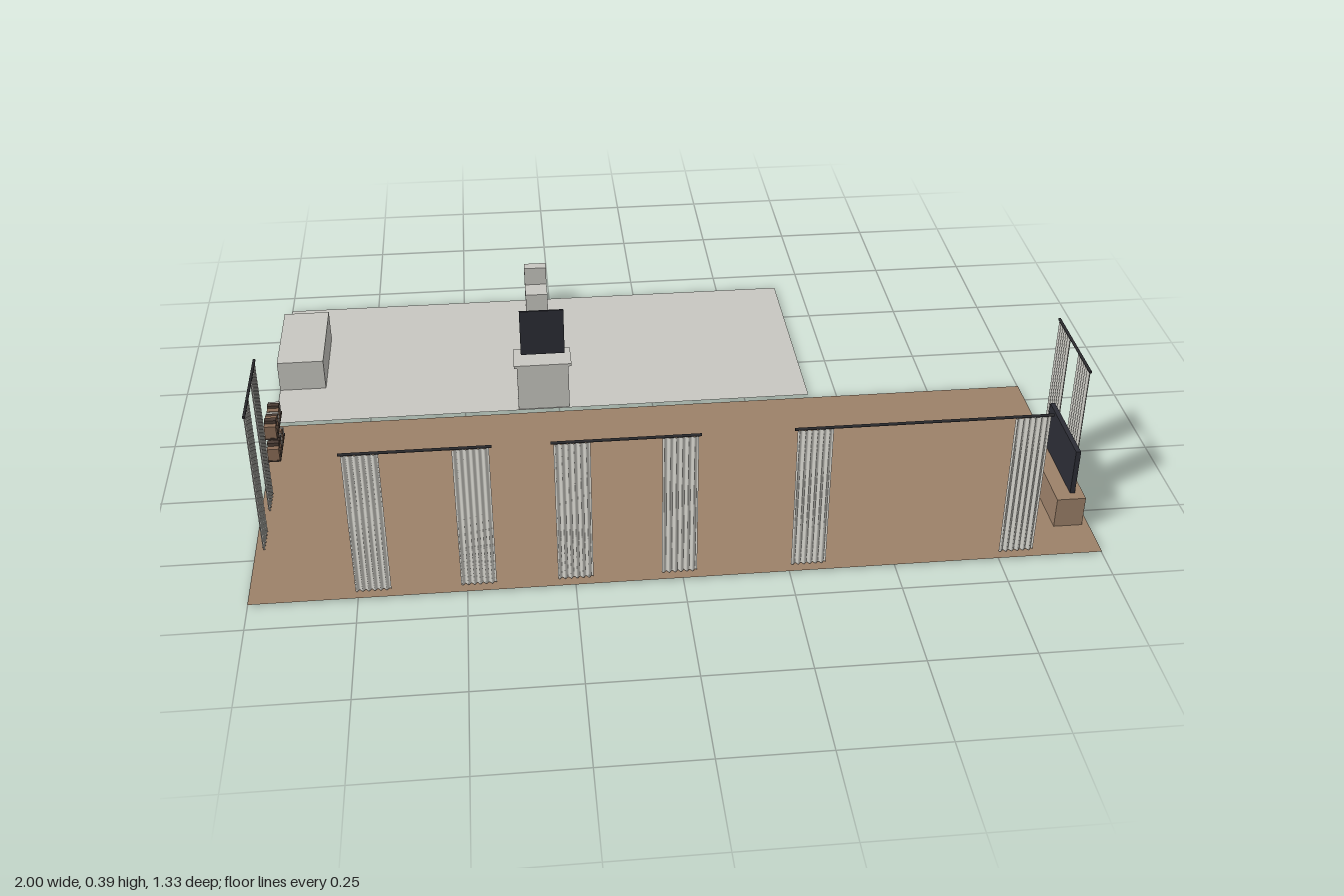
import * as THREE from 'three';

const material = (name, color, side = THREE.FrontSide) => {
  const m = new THREE.MeshStandardMaterial({ color, side });
  m.name = name;
  return m;
};

export function createModel() {
  const wood = material('wood', 0x9c8169, THREE.DoubleSide);
  const pale = material('pale grey', 0xc8c7c1, THREE.DoubleSide);
  const fabric = material('curtain fabric', 0xd0cfc8, THREE.DoubleSide);
  const metal = material('dark metal', 0x2a2a2d);
  const glass = material('dark glass', 0x2c2d35);
  const rugBrown = material('rug brown', 0x746358);
  const bookBrown = material('book brown', 0x8a6c56);
  const bookDark = material('book dark brown', 0x4a3c34);
  const bookGrey = material('book grey', 0xa3a29c);

  const model = new THREE.Group();
  model.name = 'rooms';

  // Box given by its limits on each axis
  const box = (name, mat, [x0, x1], [y0, y1], [z0, z1], parent = model) => {
    const mesh = new THREE.Mesh(new THREE.BoxGeometry(x1 - x0, y1 - y0, z1 - z0), mat);
    mesh.position.set((x0 + x1) / 2, (y0 + y1) / 2, (z0 + z1) / 2);
    mesh.name = name;
    parent.add(mesh);
    return mesh;
  };

  // Flat floors
  const floor = (name, mat, [x0, x1], [z0, z1]) => {
    const mesh = new THREE.Mesh(new THREE.PlaneGeometry(x1 - x0, z1 - z0).rotateX(-Math.PI / 2), mat);
    mesh.position.set((x0 + x1) / 2, 0.004, (z0 + z1) / 2);
    mesh.name = name;
    model.add(mesh);
  };
  floor('livingFloor', wood, [-1, 1], [-0.063, 0.667]);
  floor('bathFloor', pale, [-1, 0.424], [-0.667, -0.078]);
  box('rug', rugBrown, [-0.2, 0.2], [0, 0.003], [0.27, 0.575]);

  // Pleated curtain panel: a ribbon whose vertices follow a wave
  const panel = (x0, x1) => {
    const pleats = 6, width = x1 - x0;
    const geo = new THREE.PlaneGeometry(width, 0.378, pleats * 8, 1);
    const p = geo.attributes.position;
    for (let i = 0; i < p.count; i++) {
      const t = p.getX(i) / width + 0.5;
      p.setZ(i, 0.0035 * Math.sin(t * pleats * Math.PI * 2));
    }
    geo.computeVertexNormals();
    const mesh = new THREE.Mesh(geo, fabric);
    mesh.position.set((x0 + x1) / 2, 0.198, 0);
    mesh.name = 'curtainPanel';
    return mesh;
  };

  // Rod with a panel at each end, built along x about its own centre
  const curtain = (name, length, x, z, turn = 0) => {
    const group = new THREE.Group();
    group.name = name;
    const half = length / 2;
    const rod = new THREE.Mesh(new THREE.CylinderGeometry(0.0035, 0.0035, length, 10).rotateZ(Math.PI / 2), metal);
    rod.position.y = 0.39;
    rod.name = 'curtainRod';
    group.add(rod, panel(-half + 0.006, -half + 0.088), panel(half - 0.088, half - 0.006));
    group.position.set(x, 0, z);
    group.rotation.y = turn;
    model.add(group);
  };
  curtain('frontCurtainRight', 0.336, -0.594, 0.647);
  curtain('frontCurtainMiddle', 0.336, -0.128, 0.647);
  curtain('frontCurtainLeft', 0.592, 0.546, 0.647);
  for (const s of [-1, 1]) curtain('sideCurtain', 0.248, s * 0.98, 0.355, s * Math.PI / 2);

  // Television on a low stand
  box('tvStand', wood, [0.914, 0.984], [0.004, 0.083], [0.298, 0.56]);
  box('television', glass, [0.952, 0.964], [0.083, 0.203], [0.323, 0.536]);

  // Bath, toilet and washstand
  box('bath', pale, [-1, -0.877], [0.003, 0.09], [-0.503, -0.239]);
  box('toiletSeat', pale, [-0.32, -0.257], [0.003, 0.074], [-0.654, -0.572]);
  box('toiletTank', pale, [-0.32, -0.257], [0.068, 0.128], [-0.662, -0.633]);
  box('washstand', pale, [-0.358, -0.222], [0.003, 0.133], [-0.161, -0.082]);
  box('washstandTop', pale, [-0.366, -0.214], [0.133, 0.141], [-0.164, -0.079]);
  box('mirror', glass, [-0.346, -0.231], [0.173, 0.303], [-0.088, -0.083]);

  // Two wall shelves of books with varied heights
  const covers = [bookGrey, bookDark, bookBrown, bookGrey, bookDark, bookBrown, bookDark, bookBrown];
  const shelf = (y, heights) => {
    const group = new THREE.Group();
    group.name = 'bookshelf';
    box('shelfBoard', bookDark, [-0.971, -0.939], [y, y + 0.004], [0.18, 0.298], group);
    const step = 0.118 / heights.length;
    heights.forEach((h, i) => {
      const z = 0.18 + i * step;
      box('book', covers[i % covers.length], [-0.969, -0.941], [y + 0.004, y + h], [z, z + step - 0.001], group);
    });
    model.add(group);
  };
  shelf(0.205, [0.032, 0.038, 0.032, 0.031, 0.036, 0.04, 0.044, 0.036]);
  shelf(0.14, [0.022, 0.028, 0.038, 0.032, 0.04, 0.034, 0.044, 0.036]);

  return model;
}
